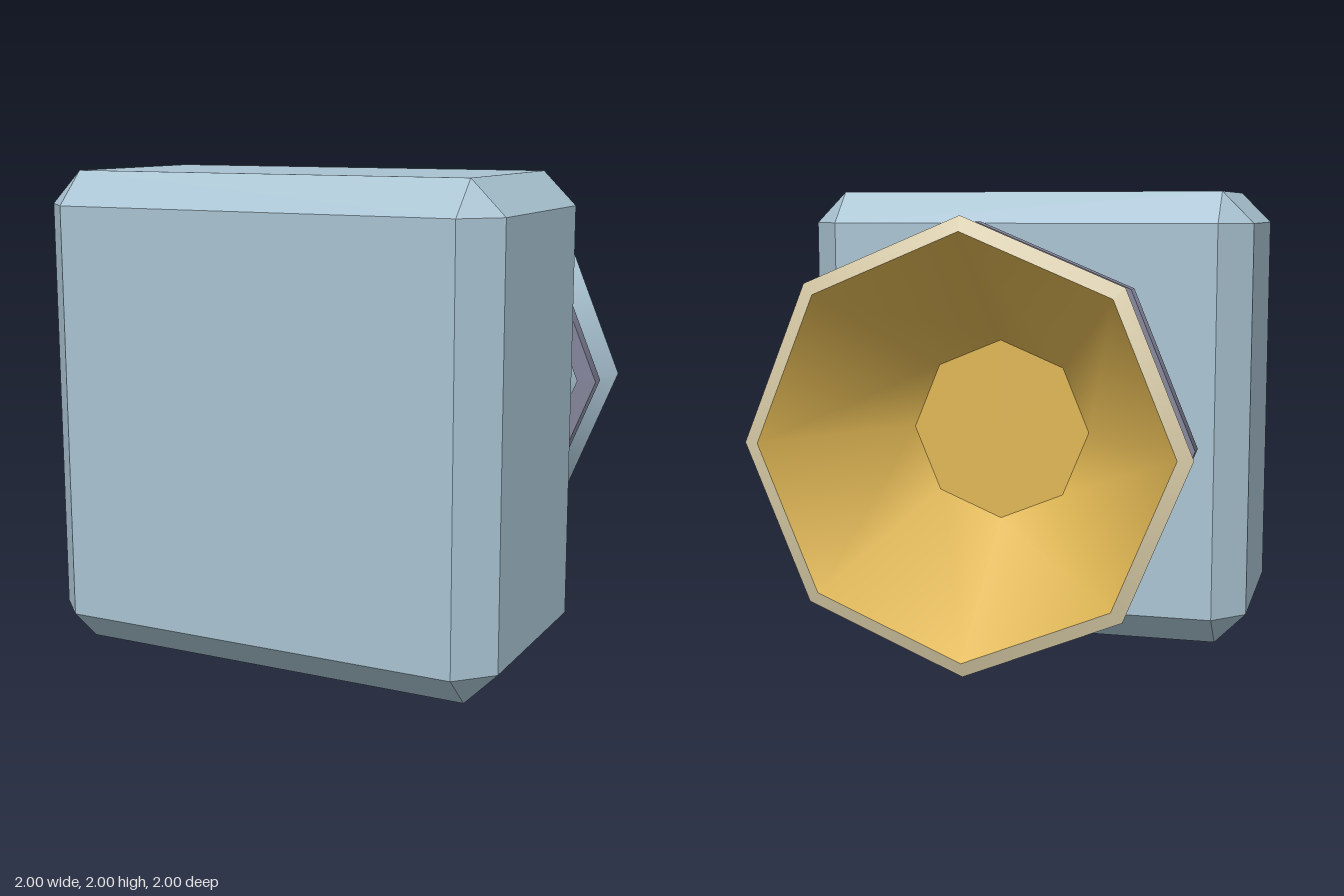
import * as THREE from 'three';
import { mergeGeometries } from 'three/addons/utils/BufferGeometryUtils.js';
import { ConvexGeometry } from 'three/addons/geometries/ConvexGeometry.js';

const SIDES = 8;

const material = (name, color) => {
  const m = new THREE.MeshStandardMaterial({ color });
  m.name = name;
  return m;
};

// Octagonal surface around the z axis from [radius, z] pairs: smooth around, sharp between bands.
// Bands running towards -z face outwards, bands running towards +z face inwards.
function turned(profile) {
  const bands = [];
  for (let i = 0; i < profile.length - 1; i++) {
    const pts = [profile[i], profile[i + 1]].map(([r, z]) => new THREE.Vector2(r, -z));
    bands.push(new THREE.LatheGeometry(pts, SIDES));
  }
  return mergeGeometries(bands).rotateX(-Math.PI / 2);
}

// Box with flat chamfers along all edges and triangular corners
function chamferedBox(hx, hy, hz, c) {
  const pts = [];
  for (const x of [-1, 1]) for (const y of [-1, 1]) for (const z of [-1, 1]) {
    pts.push(
      new THREE.Vector3(x * hx, y * (hy - c), z * (hz - c)),
      new THREE.Vector3(x * (hx - c), y * hy, z * (hz - c)),
      new THREE.Vector3(x * (hx - c), y * (hy - c), z * hz),
    );
  }
  return new ConvexGeometry(pts);
}

export function createModel() {
  const group = new THREE.Group();
  const blue = material('pale blue', 0xa9c3d2);
  const tan = material('tan', 0xd8cba6);
  const gold = material('gold', 0xdfb653);
  const slate = material('slate violet', 0x83859b);

  const add = (name, geometry, mat, y = 1, z = 0) => {
    const mesh = new THREE.Mesh(geometry, mat);
    mesh.name = name;
    mesh.position.set(0, y, z);
    group.add(mesh);
  };

  // Main block
  add('body', chamferedBox(1, 1, 0.5375, 0.138), blue, 1, 0.4625);

  // Tapered neck behind the block
  add('neck', turned([[0.575, -0.075], [0.46, -0.345]]), tan);

  // Flared horn: outer shell, rim, and inner lining with its floor
  add('hornShell', turned([[0, -0.345], [0.46, -0.345], [0.9, -0.98]]), blue);
  add('hornRim', turned([[0.9, -0.98], [0.84, -1]]), tan);
  add('hornLining', turned([[0.84, -1], [0.38, -0.4], [0, -0.4]]), gold);

  // Free-standing rings around the horn: outer radius, inner radius, front z, back z
  const rings = [[0.68, 0.59, -0.425, -0.5], [0.875, 0.785, -0.695, -0.767]];
  rings.forEach(([ro, ri, z0, z1], i) => {
    add(`ring${i + 1}`, turned([[ro, z0], [ro, z1], [ri, z1], [ri, z0], [ro, z0]]), slate);
  });

  return group;
}
